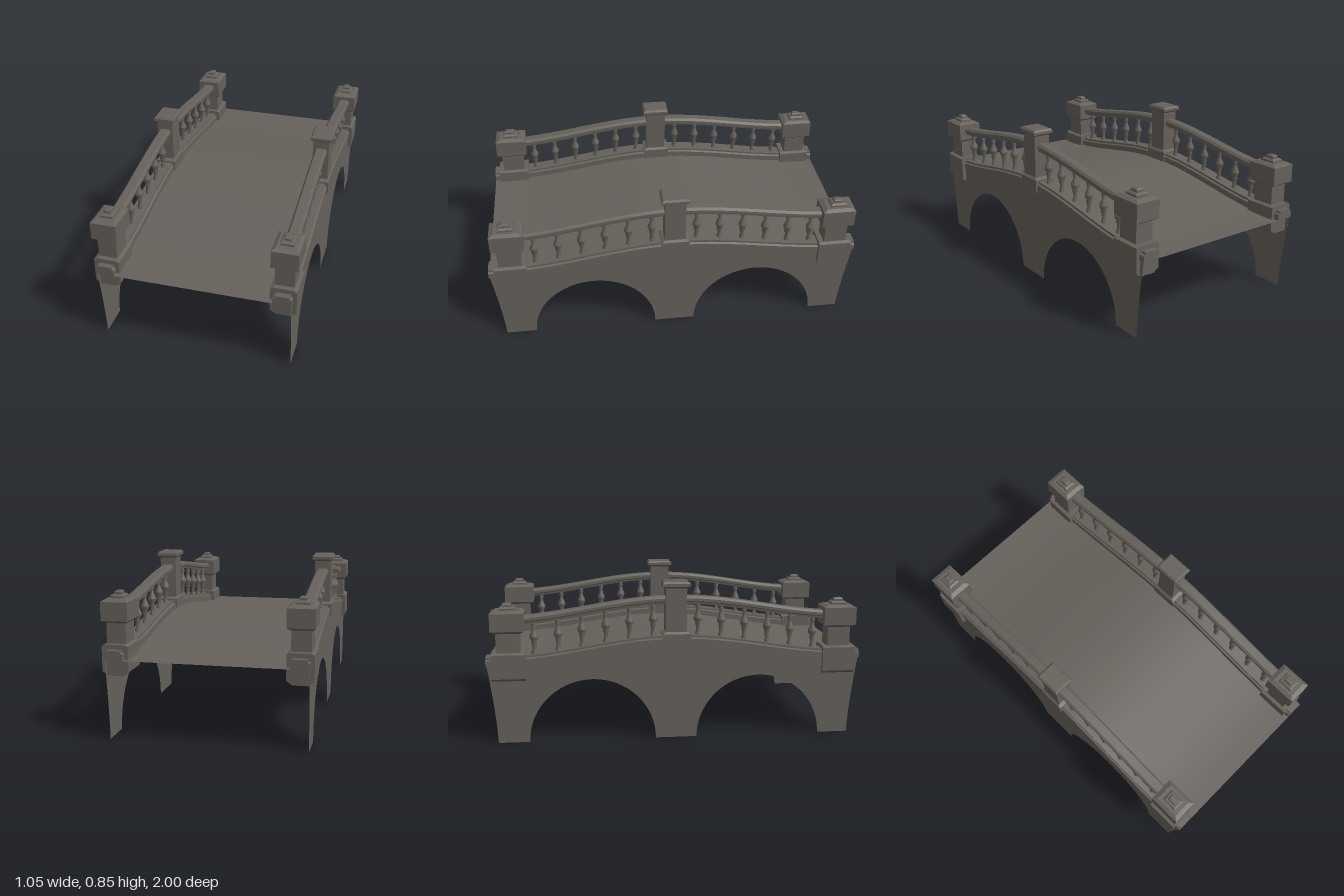
import * as THREE from 'three';
import { toCreasedNormals } from 'three/addons/utils/BufferGeometryUtils.js';

const SIDE_X = 0.456; // centre line of each parapet

// Rise of the deck above its ends, as a smooth hump along z
const rise = z => 0.049 * (1 + Math.cos(Math.PI * Math.min(1, Math.abs(z) / 0.94)));

// Bend a geometry upwards along the hump
function arch(geo) {
  const p = geo.attributes.position;
  for (let i = 0; i < p.count; i++) p.setY(i, p.getY(i) + rise(p.getZ(i)));
  return toCreasedNormals(geo, 0.5);
}

// Sweep a symmetrical half profile [halfWidth, y] along z
function sweep(half, length) {
  const pts = [...half, ...half.slice().reverse().map(([x, y]) => [-x, y])];
  const shape = new THREE.Shape(pts.map(([x, y]) => new THREE.Vector2(x, y)));
  const geo = new THREE.ExtrudeGeometry(shape, { depth: length, steps: 40, bevelEnabled: false });
  return geo.translate(0, 0, -length / 2);
}

// Stack of square sections [halfX, halfZ, y], closed at both ends
function stack(rows) {
  const pos = [];
  const ring = ([x, z, y]) => [[-x, y, z], [x, y, z], [x, y, -z], [-x, y, -z]];
  const quad = (a, b, c, d) => pos.push(...a, ...b, ...c, ...a, ...c, ...d);
  for (let i = 0; i < rows.length - 1; i++) {
    const a = ring(rows[i]), b = ring(rows[i + 1]);
    for (let k = 0; k < 4; k++) quad(a[k], a[(k + 1) % 4], b[(k + 1) % 4], b[k]);
  }
  const lo = ring(rows[0]), hi = ring(rows[rows.length - 1]);
  quad(lo[3], lo[2], lo[1], lo[0]);
  quad(hi[0], hi[1], hi[2], hi[3]);
  const geo = new THREE.BufferGeometry();
  geo.setAttribute('position', new THREE.Float32BufferAttribute(pos, 3));
  geo.computeVertexNormals();
  return geo;
}

// Side wall sheet with two round arch openings
function wallGeometry() {
  const s = new THREE.Shape();
  s.moveTo(-0.95, 0);
  s.quadraticCurveTo(-0.955, 0.16, -0.995, 0.42);
  for (let i = 0; i <= 40; i++) {
    const z = -0.995 + 1.99 * i / 40;
    s.lineTo(z, 0.42 + rise(z));
  }
  s.quadraticCurveTo(0.955, 0.16, 0.95, 0);
  s.lineTo(0.785, 0);
  s.absarc(0.448, 0, 0.337, 0, Math.PI, false);
  s.lineTo(-0.111, 0);
  s.absarc(-0.448, 0, 0.337, 0, Math.PI, false);
  s.lineTo(-0.95, 0);
  return new THREE.ShapeGeometry(s, 24).rotateY(Math.PI / 2);
}

export function createModel() {
  const stone = new THREE.MeshStandardMaterial({ color: 0x66615b, side: THREE.DoubleSide });
  stone.name = 'stone';
  const model = new THREE.Group();
  model.name = 'bridge';
  const add = (name, geo, parent, x = 0, y = 0, z = 0) => {
    const mesh = new THREE.Mesh(geo, stone);
    mesh.name = name;
    mesh.position.set(x, y, z);
    parent.add(mesh);
  };

  // Humped deck between the kerbs
  const deck = new THREE.PlaneGeometry(0.84, 2, 1, 48).rotateX(-Math.PI / 2).translate(0, 0.418, 0);
  add('deck', arch(deck), model);

  // Shared parapet parts
  const wall = wallGeometry();
  const kerb = arch(sweep([[0.048, 0.418], [0.048, 0.449], [0.037, 0.455], [0.037, 0.466]], 2));
  const rail = arch(sweep([[0.022, 0.632], [0.024, 0.643], [0.033, 0.648], [0.033, 0.663], [0.022, 0.675]], 1.68));
  const baluster = new THREE.LatheGeometry([
    [0.015, 0], [0.015, 0.012], [0.01, 0.018], [0.011, 0.05], [0.017, 0.056], [0.012, 0.064],
    [0.023, 0.085], [0.023, 0.097], [0.012, 0.12], [0.009, 0.142], [0.014, 0.148], [0.01, 0.172],
  ].map(([r, y]) => new THREE.Vector2(r, y)), 10);

  // Pedestal block with its lower side edges cut off
  const block = sweep([[0.038, 0.334], [0.067, 0.354], [0.067, 0.482], [0.05, 0.49]], 0.176);
  const shaft = stack([[0.049, 0.061, 0.48], [0.049, 0.061, 0.605]]);
  const cap = stack([
    [0.052, 0.066, 0.593], [0.068, 0.087, 0.606], [0.068, 0.087, 0.7], [0.049, 0.064, 0.712],
  ]);
  const finial = stack([
    [0.034, 0.042, 0.71], [0.034, 0.042, 0.722], [0.026, 0.032, 0.729],
    [0.018, 0.024, 0.729], [0.018, 0.024, 0.74], [0.013, 0.018, 0.746],
  ]);

  // Middle post: plinth, shaft and cap
  const plinth = stack([[0.056, 0.075, 0.502], [0.056, 0.075, 0.572], [0.046, 0.056, 0.583]]);
  const post = stack([[0.045, 0.056, 0.57], [0.045, 0.056, 0.825]]);
  const postCap = stack([
    [0.046, 0.058, 0.815], [0.058, 0.073, 0.825], [0.058, 0.073, 0.84], [0.05, 0.064, 0.85],
  ]);

  for (const s of [-1, 1]) {
    const side = new THREE.Group();
    side.name = s > 0 ? 'leftParapet' : 'rightParapet';
    side.position.x = s * SIDE_X;
    model.add(side);
    add('archWall', wall, side, s * 0.044);
    add('kerb', kerb, side);
    add('handrail', rail, side);
    add('middlePlinth', plinth, side);
    add('middlePost', post, side);
    add('middlePostCap', postCap, side);

    for (const e of [-1, 1]) {
      const z = e * 0.882;
      add('pedestalBlock', block, side, 0, 0, z);
      add('pedestalShaft', shaft, side, 0, 0, z);
      add('pedestalCap', cap, side, 0, 0, z);
      add('finial', finial, side, 0, 0, z);
      for (let i = 0; i < 6; i++) {
        const bz = e * (0.12 + i * 0.1256);
        add('baluster', baluster, side, 0, 0.464 + rise(bz), bz);
      }
    }
  }
  return model;
}
